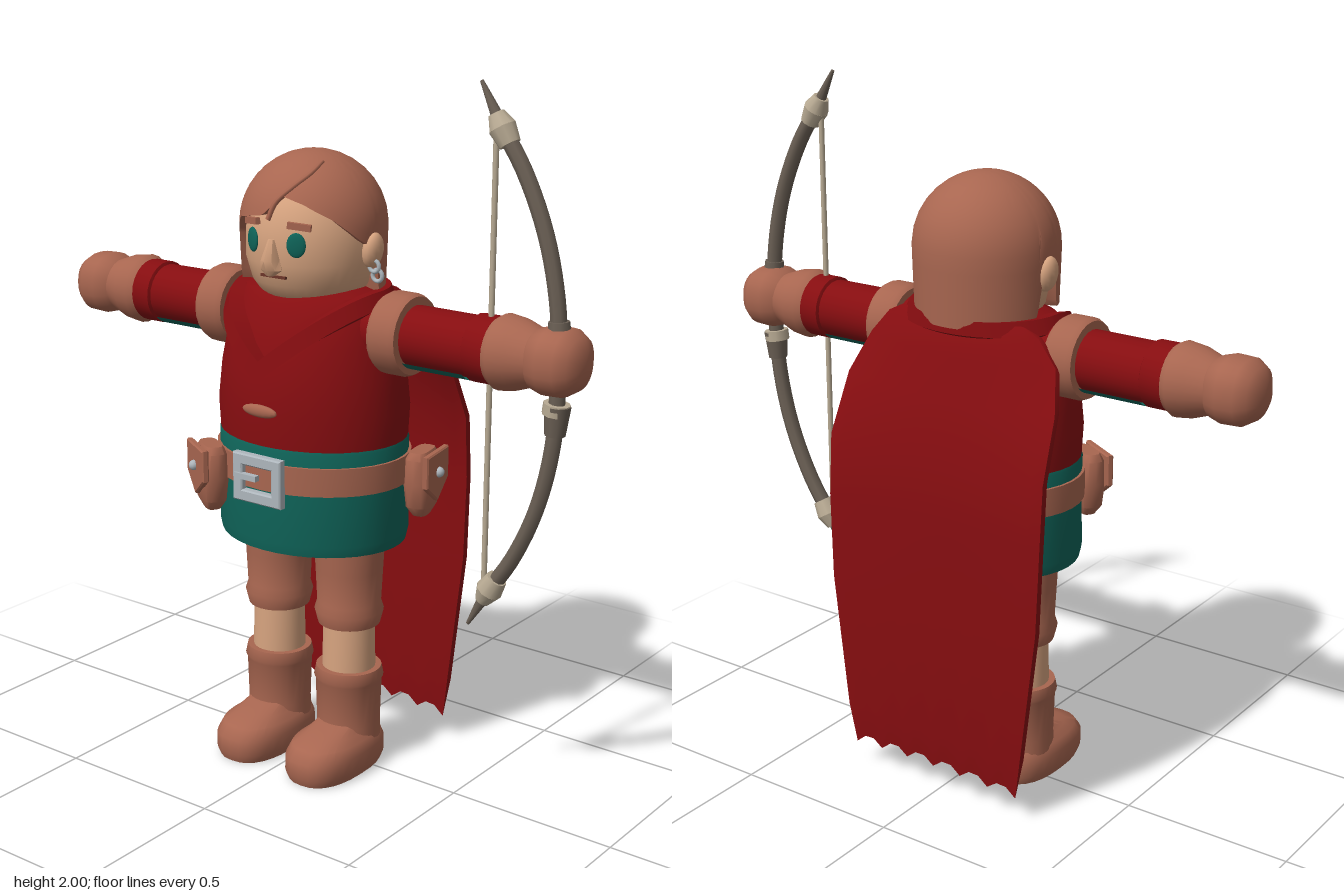
import * as THREE from 'three';
import { toCreasedNormals } from 'three/addons/utils/BufferGeometryUtils.js';

const mat = (name, color) => Object.assign(new THREE.MeshStandardMaterial({ color }), { name });
const V = (x, y, z) => new THREE.Vector3(x, y, z);

// Surface through closed rings of points, listed from bottom to top
function skin(rings, caps = true, crease = 0.7) {
  const n = rings[0].length, pos = [], idx = [];
  rings.forEach(r => r.forEach(p => pos.push(p.x, p.y, p.z)));
  for (let i = 0; i < rings.length - 1; i++)
    for (let j = 0; j < n; j++) {
      const k = (j + 1) % n, a = i * n + j, b = i * n + k, c = b + n, d = a + n;
      idx.push(a, b, c, a, c, d);
    }
  if (caps) [0, rings.length - 1].forEach((i, top) => {
    const m = rings[i].reduce((s, p) => s.add(p), V(0, 0, 0)).divideScalar(n);
    const c = pos.length / 3;
    pos.push(m.x, m.y, m.z);
    for (let j = 0; j < n; j++) {
      const a = i * n + j, b = i * n + (j + 1) % n;
      if (top) idx.push(c, a, b); else idx.push(c, b, a);
    }
  });
  const g = new THREE.BufferGeometry();
  g.setAttribute('position', new THREE.Float32BufferAttribute(pos, 3));
  g.setIndex(idx);
  return toCreasedNormals(g, crease);
}

const around = (n, f) => Array.from({ length: n }, (_, j) => f((j / n) * Math.PI * 2));

// Stack of ellipses: [y, rx, rz, zCentre]; power < 1 squares them off
function stack(rows, n = 28, power = 1, crease = 0.7) {
  const q = v => Math.sign(v) * Math.abs(v) ** power;
  return skin(rows.map(([y, rx, rz = rx, cz = 0]) =>
    around(n, a => V(q(Math.sin(a)) * rx, y, q(Math.cos(a)) * rz + cz))), true, crease);
}

// Linear interpolation through [x, y] pairs
function lerpTable(t, x) {
  for (let i = 1; i < t.length; i++)
    if (x <= t[i][0]) {
      const [x0, y0] = t[i - 1], [x1, y1] = t[i];
      return y0 + (y1 - y0) * (x - x0) / (x1 - x0);
    }
  return t[t.length - 1][1];
}

export function createModel() {
  const root = new THREE.Group();
  root.name = 'archer';
  const leather = mat('brownLeather', 0xa86650), red = mat('redCloth', 0x860d10), teal = mat('tealCloth', 0x0f6459),
    flesh = mat('skin', 0xd6a37f), wood = mat('bowWood', 0x6a5f54), bone = mat('paleBinding', 0xb8aa93),
    silver = mat('silver', 0xaeb6bc), dark = mat('mouthBrown', 0x6a3428);
  const add = (name, geo, m, x = 0, y = 0, z = 0, parent = root) => {
    const mesh = new THREE.Mesh(geo, m);
    mesh.name = name;
    mesh.position.set(x, y, z);
    parent.add(mesh);
    return mesh;
  };
  const rod = (name, a, b, r0, r1, m, parent) => {
    const d = b.clone().sub(a), mid = a.clone().add(b).multiplyScalar(0.5);
    const mesh = add(name, new THREE.CylinderGeometry(r1, r0, d.length(), 10), m, mid.x, mid.y, mid.z, parent);
    mesh.quaternion.setFromUnitVectors(V(0, 1, 0), d.normalize());
    return mesh;
  };

  // Trunk
  add('tunic', stack([[0.97, 0.28, 0.235], [1.08, 0.285, 0.242], [1.18, 0.275, 0.232], [1.27, 0.26, 0.21],
    [1.35, 0.24, 0.175], [1.4, 0.215, 0.14], [1.42, 0.15, 0.1]], 36), red);
  add('skirt', stack([[0.74, 0.25, 0.2], [0.69, 0.265, 0.218], [0.69, 0.28, 0.235], [0.72, 0.287, 0.24],
    [0.87, 0.282, 0.238], [0.985, 0.284, 0.24], [1.0, 0.278, 0.234]], 36), teal);
  add('belt', stack([[0.87, 0.275, 0.23], [0.87, 0.291, 0.248], [0.95, 0.291, 0.248], [0.95, 0.275, 0.23]], 36), leather);
  add('breeches', stack([[0.63, 0.08, 0.07], [0.65, 0.14, 0.11], [0.69, 0.19, 0.14], [0.76, 0.22, 0.17]]), leather);
  const clasp = add('chestClasp', new THREE.SphereGeometry(1, 16, 10), leather, 0, 1.095, 0.243);
  clasp.scale.set(0.06, 0.018, 0.012);

  // Buckle
  const frame = new THREE.Shape([[-0.08, -0.065], [0.08, -0.065], [0.08, 0.065], [-0.08, 0.065]].map(p => new THREE.Vector2(...p)));
  frame.holes.push(new THREE.Path([[-0.055, -0.04], [-0.055, 0.04], [0.055, 0.04], [0.055, -0.04]].map(p => new THREE.Vector2(...p))));
  add('buckleFrame', new THREE.ExtrudeGeometry(frame, { depth: 0.018, bevelSize: 0.004, bevelThickness: 0.004, bevelSegments: 1 }), silver, 0, 0.9, 0.24);
  add('bucklePin', new THREE.BoxGeometry(0.075, 0.016, 0.018), silver, -0.035, 0.905, 0.26);

  // Pouches with pointed flap and stud
  const flap = new THREE.Shape([[-0.068, 0.085], [-0.068, 0.0], [0, -0.05], [0.068, 0.0], [0.068, 0.085]].map(p => new THREE.Vector2(...p)));
  [[-0.2, 0.215, -0.55], [0.305, -0.1, 1.75]].forEach(([x, z, turn]) => {
    const pouch = new THREE.Group();
    pouch.name = 'pouch';
    pouch.position.set(x, 0.87, z);
    pouch.rotation.y = turn;
    root.add(pouch);
    add('pouchBody', stack([[-0.1, 0.03, 0.02], [-0.07, 0.055, 0.035], [0, 0.062, 0.042], [0.07, 0.062, 0.036], [0.09, 0.05, 0.025]], 16, 0.6), leather, 0, 0, 0, pouch);
    add('pouchFlap', new THREE.ExtrudeGeometry(flap, { depth: 0.012, bevelSize: 0.004, bevelThickness: 0.004, bevelSegments: 1 }), leather, 0, 0, 0.034, pouch);
    add('pouchStud', new THREE.SphereGeometry(0.015, 12, 8), silver, 0, 0.03, 0.052, pouch);
  });

  for (const s of [-1, 1]) {
    const side = s > 0 ? 'left' : 'right';
    // Legs
    const x = s * 0.128;
    add(side + 'Thigh', stack([[0.435, 0.075], [0.435, 0.09], [0.475, 0.1], [0.5, 0.092], [0.6, 0.097], [0.74, 0.105]]), leather, x);
    add(side + 'Knee', stack([[0.26, 0.078], [0.46, 0.074]]), flesh, x);
    add(side + 'BootShaft', stack([[0.06, 0.095], [0.13, 0.092], [0.26, 0.096], [0.27, 0.101], [0.3, 0.095], [0.3, 0.075]]), leather, x);
    add(side + 'Foot', stack([[0, 0.095, 0.165, 0.065], [0.025, 0.105, 0.175, 0.065], [0.07, 0.105, 0.173, 0.065],
      [0.1, 0.094, 0.155, 0.06], [0.115, 0.075, 0.125, 0.045], [0.14, 0.06, 0.085, 0.02]], 28, 0.8), leather, x);

    // Arms, built upright and laid outward
    const arm = new THREE.Group();
    arm.name = side + 'Arm';
    arm.position.y = 1.31;
    arm.rotation.z = -s * Math.PI / 2;
    root.add(arm);
    const armPart = (name, rows, m, power) => add(side + name, stack(rows, 24, power), m, 0, 0, 0, arm);
    armPart('ShoulderBand', [[0.255, 0.08], [0.255, 0.105], [0.27, 0.114], [0.33, 0.114], [0.345, 0.107], [0.345, 0.08]], leather);
    armPart('Sleeve', [[0.2, 0.085], [0.56, 0.083]], red);
    armPart('SleeveCuff', [[0.54, 0.083], [0.545, 0.091], [0.605, 0.091], [0.61, 0.08]], red);
    add(side + 'SleeveLining', new THREE.CylinderGeometry(0.09, 0.09, 0.19, 12, 1, true, s * Math.PI / 2 - 0.8, 1.6), teal, 0, 0.44, 0, arm).material.side = THREE.DoubleSide;
    armPart('GloveCuff', [[0.6, 0.07], [0.6, 0.088], [0.625, 0.102], [0.67, 0.096], [0.73, 0.075]], leather);
    armPart('Hand', [[0.71, 0.062], [0.73, 0.08, 0.082], [0.765, 0.09, 0.094], [0.815, 0.088, 0.092], [0.845, 0.07, 0.072], [0.862, 0.04]], leather, 0.85);
  }

  // Hood collar draped to a point in front
  const collarEdge = (rx, zf, zb, yf, yb) => around(48, a => {
    const c = Math.cos(a), w = Math.abs(Math.sin(a));
    return V(Math.sin(a) * rx, c > 0 ? yf + (yb - yf) * w : yb, c * (c > 0 ? zf : zb));
  });
  add('hoodCollar', skin([collarEdge(0.215, 0.215, 0.15, 1.2, 1.35), collarEdge(0.247, 0.26, 0.2, 1.175, 1.375),
    collarEdge(0.225, 0.25, 0.195, 1.235, 1.415), collarEdge(0.19, 0.2, 0.16, 1.24, 1.41)], false), red);

  // Cape: rows of [y, half width, z, forward curl at the edges, half thickness]
  const N = 18;
  const cape = [[0.1, 0.285, -0.268, 0.005, 0], [0.2, 0.305, -0.27, 0.008, 0.01], [0.6, 0.352, -0.272, 0.012, 0.01],
    [0.85, 0.36, -0.272, 0.016, 0.01], [1.03, 0.36, -0.268, 0.025, 0.01], [1.2, 0.348, -0.222, 0.05, 0.01],
    [1.31, 0.31, -0.188, 0.075, 0.01], [1.38, 0.25, -0.168, 0.06, 0.008], [1.405, 0.2, -0.155, 0.04, 0]]
    .map(([y, w, z, curl, t], row) => Array.from({ length: 2 * (N + 1) }, (_, j) => {
      const front = j <= N, i = front ? j : 2 * N + 1 - j, u = (i / N) * 2 - 1;
      const ragged = row ? 0 : (i % 3 === 0 ? -0.012 : 0.012) - 0.012 * u * u;
      return V(u * w, y + ragged, z + curl * u * u + (front ? t : -t));
    }));
  add('cape', skin(cape, false, 0.9), red);

  // Head and face
  add('head', stack([[1.37, 0.1], [1.395, 0.145], [1.43, 0.17], [1.49, 0.187], [1.58, 0.187], [1.66, 0.16], [1.72, 0.1]], 36), flesh);
  add('nose', stack([[1.462, 0.012, 0.012, 0.19], [1.478, 0.034, 0.026, 0.185], [1.505, 0.026, 0.036, 0.185], [1.56, 0.011, 0.014, 0.182]], 8), flesh);
  add('mouth', new THREE.BoxGeometry(0.085, 0.007, 0.008), dark, 0, 1.458, 0.179);
  for (const s of [-1, 1]) {
    const eye = add('eye', new THREE.SphereGeometry(1, 16, 10), teal, s * 0.074, 1.55, 0.174);
    eye.scale.set(0.027, 0.034, 0.007);
    eye.rotation.y = s * 0.4;
    const brow = add('brow', new THREE.BoxGeometry(0.065, 0.018, 0.014), leather, s * 0.08, 1.6, 0.168);
    brow.rotation.set(0, s * 0.42, -s * 0.1);
    const ear = add('ear', new THREE.SphereGeometry(1, 14, 10), flesh, s * 0.2, 1.525, 0.0);
    ear.scale.set(0.026, 0.05, 0.036);
    ear.rotation.z = -s * 0.15;
  }
  [[0.212, 1.485, 0.01], [0.216, 1.458, 0.0]].forEach(p => {
    add('earring', new THREE.TorusGeometry(0.016, 0.006, 8, 14), silver, ...p);
  });

  // Hair: dome whose lower edge changes with the angle round the head
  const hem = [[-3.15, 1.39], [-1.8, 1.39], [-1.7, 1.5], [-1.35, 1.53], [-1.3, 1.42], [-1.0, 1.42], [-0.92, 1.55], [-0.7, 1.605],
    [-0.1, 1.625], [0.15, 1.68], [0.5, 1.66], [0.9, 1.62], [1.3, 1.56], [1.65, 1.52], [1.75, 1.39], [3.15, 1.39]];
  const domeR = y => 0.205 * (y > 1.58 ? Math.sqrt(Math.max(0, 1 - ((y - 1.58) / 0.203) ** 2)) : 1 - 0.15 * (1.58 - y));
  const hairRing = (t, inset = 0) => around(96, a => {
    const yb = lerpTable(hem, a > Math.PI ? a - 2 * Math.PI : a);
    const y = yb + (1.782 - yb) * Math.sin(t * Math.PI / 2), r = domeR(y) - inset;
    return V(Math.sin(a) * r, y, Math.cos(a) * r);
  });
  add('hair', skin([hairRing(0, 0.03), ...Array.from({ length: 13 }, (_, i) => hairRing(i / 12))], true, 0.9), leather);
  const parting = [[0.0, 1.615], [0.08, 1.66], [0.3, 1.7], [0.6, 1.735], [0.9, 1.76]].map(([a, y]) =>
    V(Math.sin(a) * domeR(y), y, Math.cos(a) * domeR(y)));
  add('hairParting', new THREE.TubeGeometry(new THREE.CatmullRomCurve3(parting), 16, 0.007, 6), leather);

  // Bow held in the left hand
  const bow = new THREE.Group();
  bow.name = 'bow';
  root.add(bow);
  const limb = [[0.59, 1.9], [0.67, 1.78], [0.74, 1.62], [0.78, 1.44], [0.787, 1.265], [0.78, 1.09], [0.74, 0.91], [0.67, 0.75], [0.59, 0.63]]
    .map(([x, y]) => V(x, y, 0.005));
  add('bowLimbs', new THREE.TubeGeometry(new THREE.CatmullRomCurve3(limb), 40, 0.022, 8), wood, 0, 0, 0, bow);
  for (const s of [-1, 1]) {
    const p = (x, h) => V(x, 1.265 + s * h, 0.005);
    rod('bowTip', p(0.6, 0.62), p(0.535, 0.735), 0.02, 0.005, wood, bow);
    rod('tipBinding', p(0.624, 0.582), p(0.6, 0.622), 0.029, 0.037, bone, bow);
    rod('tipBindingEnd', p(0.6, 0.622), p(0.58, 0.656), 0.037, 0.022, bone, bow);
    rod('gripEnd', p(0.789, 0.07), p(0.784, 0.15), 0.036, 0.028, wood, bow);
  }
  rod('gripBinding', V(0.787, 1.2, 0.005), V(0.783, 1.17, 0.005), 0.036, 0.036, bone, bow);
  rod('bowString', V(0.583, 0.65, 0.005), V(0.583, 1.88, 0.005), 0.008, 0.008, bone, bow);
  return root;
}
